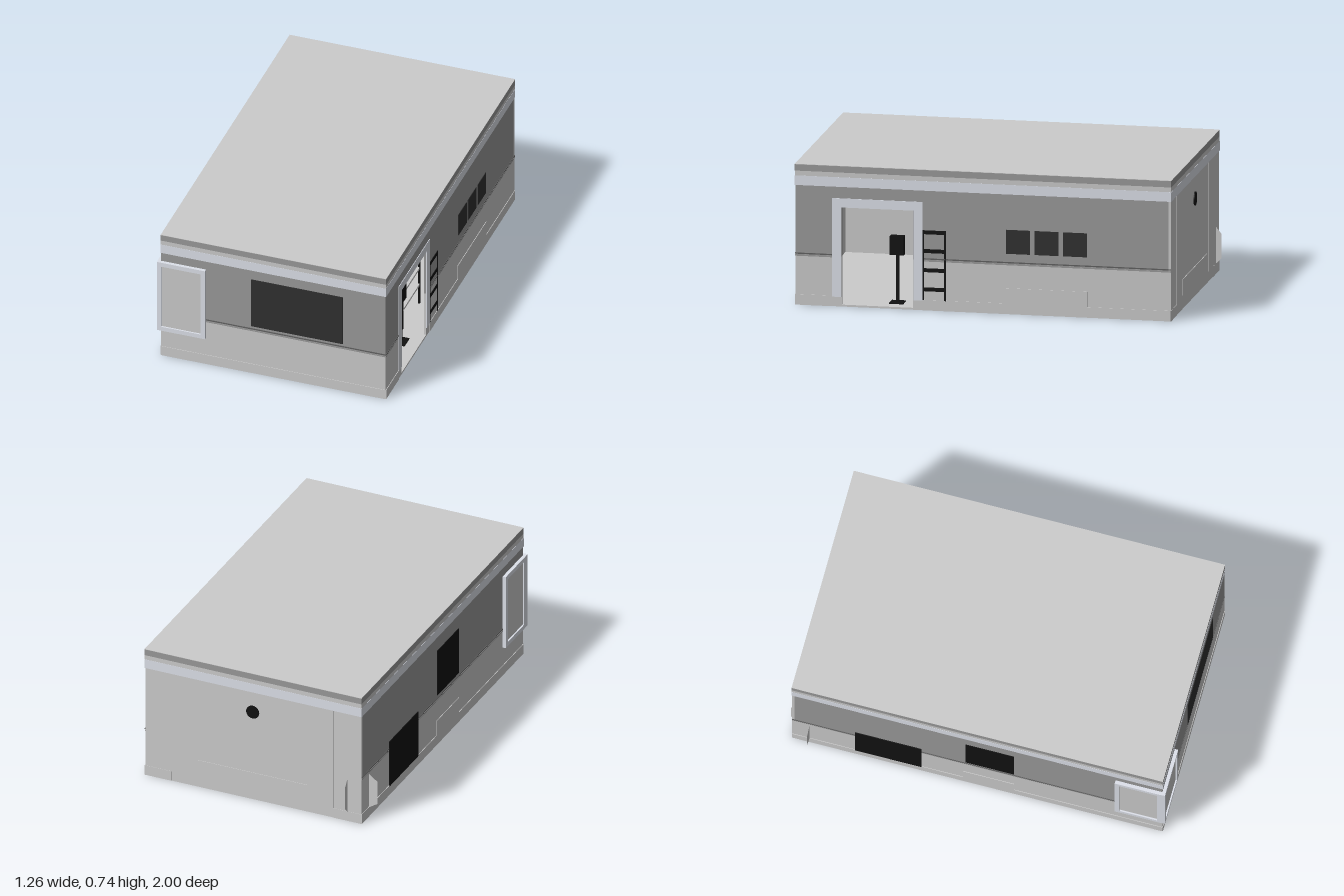
import * as THREE from 'three';

const LIGHT = 0xcccccc, MID = 0x9a9a9a, TRIM = 0xdde1ea, DARK = 0x303030, BLACK = 0x111111, RAIL = 0x606060;
// Outer wall planes
const X0 = -0.588, X1 = 0.627, Z0 = -0.972, Z1 = 0.982, T = 0.012;

export function createModel() {
  const root = new THREE.Group();
  const mats = {};
  const mat = (c) => (mats[c] ??= new THREE.MeshStandardMaterial({ color: c }));

  // Box given by its limits
  function box(name, x0, x1, y0, y1, z0, z1, color = LIGHT, parent = root) {
    const m = new THREE.Mesh(new THREE.BoxGeometry(x1 - x0, y1 - y0, z1 - z0), mat(color));
    m.position.set((x0 + x1) / 2, (y0 + y1) / 2, (z0 + z1) / 2);
    m.name = name;
    parent.add(m);
    return m;
  }
  // Flat box lying on one of the outer walls: a0..a1 runs along the wall, d is how far it stands out
  function onWall(side, name, a0, a1, y0, y1, d, color) {
    if (side === 'front') return box(name, a0, a1, y0, y1, Z1 - 0.004, Z1 + d, color);
    if (side === 'back') return box(name, a0, a1, y0, y1, Z0 - d, Z0 + 0.004, color);
    if (side === 'left') return box(name, X1 - 0.004, X1 + d, y0, y1, a0, a1, color);
    return box(name, X0 - d, X0 + 0.004, y0, y1, a0, a1, color);
  }
  // Four-sided frame on a wall
  function frame(side, name, a0, a1, y0, y1, w, d, color, sill = true) {
    onWall(side, name, a0, a0 + w, y0, y1, d, color);
    onWall(side, name, a1 - w, a1, y0, y1, d, color);
    onWall(side, name, a0 + w, a1 - w, y1 - w, y1, d, color);
    if (sill) onWall(side, name, a0 + w, a1 - w, y0, y0 + w, d, color);
  }

  // Floor and flat roof
  box('floor', X0, X1, 0, 0.01, Z0, Z1);
  box('roof', -0.59, 0.63, 0.7, 0.733, -0.975, 0.985, MID);
  box('roofTop', -0.59, 0.63, 0.733, 0.735, -0.975, 0.985);

  // Two-tone walls, plain at the back, with a door opening on the left side
  for (const [name, y0, y1, c] of [['lowerWall', 0.01, 0.262, LIGHT], ['upperWall', 0.262, 0.7, MID]]) {
    box(name, X0, X1, y0, y1, Z1 - T, Z1, c);
    box(name, X0, X0 + T, y0, y1, Z0 + T, Z1 - T, c);
    box(name, X1 - T, X1, y0, y1, Z0 + T, 0.37, c);
    box(name, X1 - T, X1, y0, y1, 0.74, Z1 - T, c);
  }
  box('wallAboveDoor', X1 - T, X1, 0.52, 0.7, 0.37, 0.74, MID);
  box('backWall', X0, X1, 0.01, 0.7, Z0, Z0 + T);

  // Bands running round the walls
  const ring = (name, y0, y1, d, color) => {
    onWall('front', name, X0 - d, X1 + d, y0, y1, d, color);
    onWall('back', name, X0 - d, X1 + d, y0, y1, d, color);
    onWall('left', name, Z0, Z1, y0, y1, d, color);
    onWall('right', name, Z0, Z1, y0, y1, d, color);
  };
  ring('cornice', 0.625, 0.675, 0.003, TRIM);
  ring('corniceTop', 0.675, 0.7, 0.002, LIGHT);
  for (const [side, a0, a1] of [['front', X0, X1], ['right', Z0, Z1], ['left', Z0, 0.32], ['left', 0.79, Z1]]) {
    onWall(side, 'skirting', a0, a1, 0, 0.055, 0.003, LIGHT);
    onWall(side, 'chairRail', a0, a1, 0.255, 0.262, 0.002, MID);
    onWall(side, 'chairRail', a0, a1, 0.266, 0.272, 0.003, RAIL);
  }
  onWall('back', 'skirting', X0, -0.43, 0, 0.055, 0.002, LIGHT);
  onWall('back', 'skirting', 0.48, X1, 0, 0.055, 0.002, LIGHT);

  // Front: wide dark screen and framed panel at the corner
  onWall('front', 'screen', -0.1, 0.395, 0.285, 0.57, 0.003, DARK);
  onWall('front', 'panel', -0.58, -0.36, 0.17, 0.565, 0.01, LIGHT);
  frame('front', 'panelFrame', -0.605, -0.345, 0.16, 0.575, 0.024, 0.018, TRIM);

  // Right side: matching corner panel, window, low opening and bench
  onWall('right', 'sidePanel', 0.75, 0.97, 0.17, 0.565, 0.01, LIGHT);
  frame('right', 'sidePanelFrame', 0.735, 0.982, 0.16, 0.575, 0.024, 0.018, TRIM);
  onWall('right', 'window', -0.057, 0.2, 0.285, 0.545, 0.003, BLACK);
  onWall('right', 'lowOpening', -0.64, -0.29, 0.05, 0.31, 0.004, BLACK);
  onWall('right', 'bench', -0.07, 0.2, 0.05, 0.14, 0.003, LIGHT);

  // Left side: door frame, three windows, bench and ledge
  frame('left', 'doorFrame', 0.32, 0.79, 0.05, 0.565, 0.047, 0.003, TRIM, false);
  for (let i = 0; i < 3; i++) {
    const z = -0.24 - i * 0.148;
    onWall('left', 'smallWindow', z, z + 0.125, 0.315, 0.44, 0.003, DARK);
  }
  onWall('left', 'bench', -0.54, -0.11, 0.05, 0.135, 0.003, LIGHT);
  onWall('left', 'ledge', -0.06, 0.2, 0.045, 0.055, 0.003, LIGHT);

  // Ladder rack beside the door
  for (const z of [0.198, 0.313]) onWall('left', 'rackPost', z, z + 0.009, 0.05, 0.418, 0.003, BLACK);
  for (const y of [0.1, 0.2, 0.3, 0.398]) onWall('left', 'rackRung', 0.207, 0.313, y, y + 0.02, 0.003, BLACK);

  // Back: raised surround, shallow recess with a low box, round black disc
  onWall('back', 'surround', -0.43, -0.31, 0.055, 0.625, 0.003, LIGHT);
  onWall('back', 'surround', 0.35, 0.48, 0.055, 0.625, 0.003, LIGHT);
  onWall('back', 'lowBox', -0.283, 0.33, 0.07, 0.156, 0.003, LIGHT);
  const disc = new THREE.Mesh(new THREE.CylinderGeometry(0.036, 0.036, 0.008, 24), mat(BLACK));
  disc.name = 'disc';
  disc.rotation.x = Math.PI / 2;
  disc.position.set(0.022, 0.51, Z0 - 0.001);
  root.add(disc);

  // Thin brackets near the back right corner
  const thin = new THREE.MeshStandardMaterial({ color: LIGHT, side: THREE.DoubleSide });
  const bracket = (depth, ry, x, z) => {
    const s = new THREE.Shape([[0, 0.05], [depth, 0.08], [depth, 0.21], [0, 0.245]].map((p) => new THREE.Vector2(...p)));
    const m = new THREE.Mesh(new THREE.ShapeGeometry(s), thin);
    m.name = 'bracket';
    m.rotation.y = ry;
    m.position.set(x, 0, z);
    root.add(m);
  };
  bracket(0.047, Math.PI, X0, -0.88);
  bracket(0.028, Math.PI / 2, -0.51, Z0);

  // Stand just inside the door
  const stand = new THREE.Group();
  stand.name = 'stand';
  root.add(stand);
  box('standBase', 0.49, 0.56, 0.01, 0.016, 0.435, 0.508, BLACK, stand);
  box('standPole', 0.518, 0.532, 0.016, 0.27, 0.463, 0.477, BLACK, stand);
  box('standHead', 0.505, 0.545, 0.262, 0.36, 0.436, 0.508, BLACK, stand);

  // Open shelves beyond the door
  const shelves = new THREE.Group();
  shelves.name = 'shelves';
  root.add(shelves);
  for (const y of [0.12, 0.22, 0.31, 0.42]) box('shelf', 0.1, 0.5, y, y + 0.012, 0.1, 0.365, LIGHT, shelves);
  for (const x of [0.1, 0.49]) for (const z of [0.1, 0.355])
    box('shelfPost', x, x + 0.01, 0.01, 0.43, z, z + 0.01, BLACK, shelves);

  // Black framed board on the inside of the front wall
  box('insideBoardFrame', 0.15, 0.5, 0.06, 0.26, Z1 - T - 0.008, Z1 - T, BLACK);
  box('insideBoard', 0.165, 0.485, 0.075, 0.245, Z1 - T - 0.011, Z1 - T - 0.004);

  return root;
}
